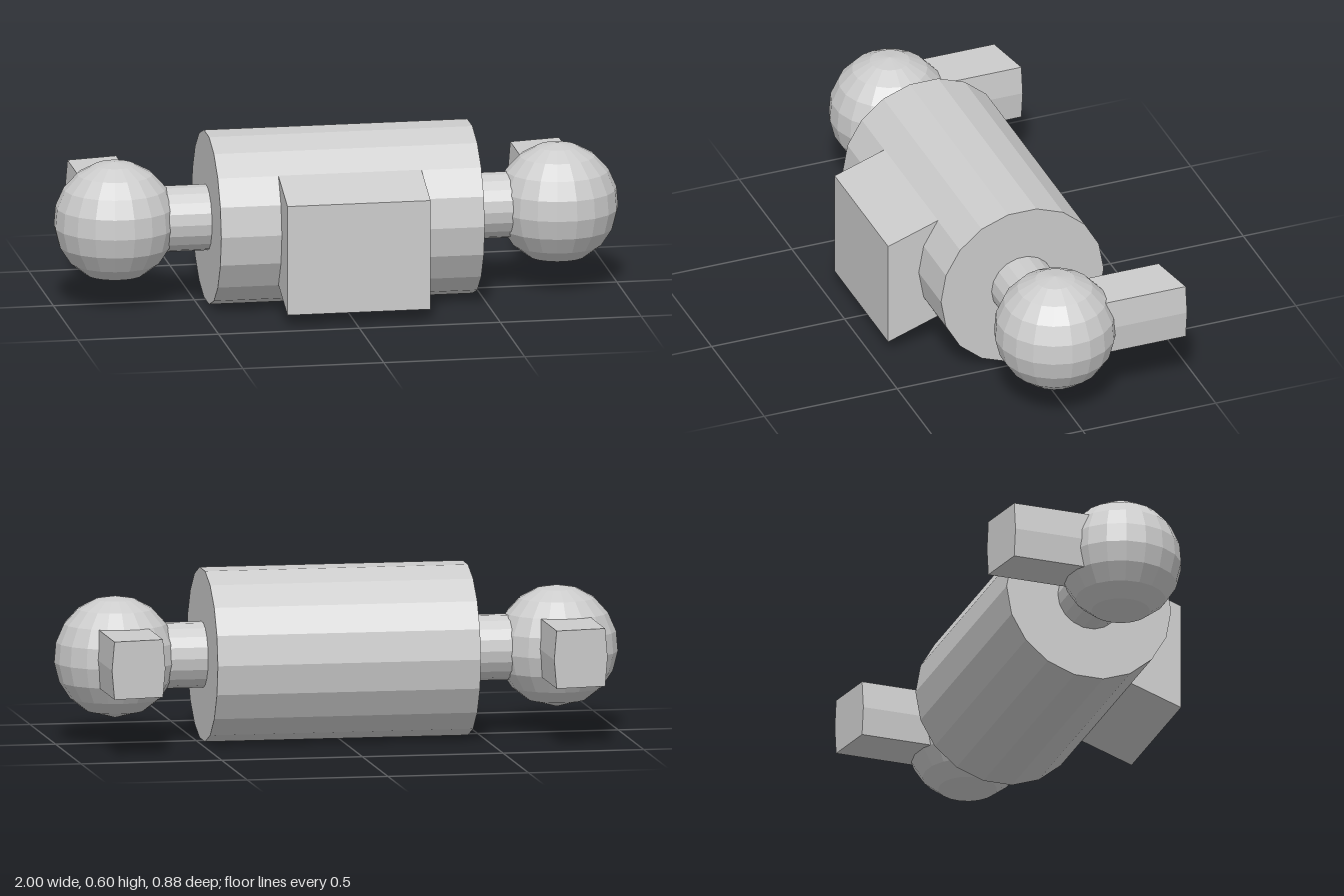
import * as THREE from 'three';

const material = new THREE.MeshStandardMaterial({ color: 0xcccccc, flatShading: true });
const AXIS_Y = 0.302, AXIS_Z = 0.019;

function addMesh(parent, name, geometry, x = 0, y = 0, z = 0) {
  const mesh = new THREE.Mesh(geometry, material);
  mesh.name = name;
  mesh.position.set(x, y, z);
  parent.add(mesh);
  return mesh;
}

// Cylinder lying along x, with a corner facing +z
function barrel(radius, x0, x1) {
  return new THREE.CylinderGeometry(radius, radius, x1 - x0, 18)
    .rotateZ(Math.PI / 2)
    .translate((x0 + x1) / 2, AXIS_Y, AXIS_Z);
}

// Prism along z from a list of [x, y] corners
function prism(corners, depth) {
  const shape = new THREE.Shape(corners.map(([x, y]) => new THREE.Vector2(x, y)));
  return new THREE.ExtrudeGeometry(shape, { depth, bevelEnabled: false });
}

// Ball of evenly stepped rings whose last step to the lower pole is longer
function ballGeometry(radius) {
  const step = (2 * Math.PI) / 19;
  const profile = [new THREE.Vector2(0, -radius)];
  for (let i = 8; i >= 0; i--) {
    profile.push(new THREE.Vector2(radius * Math.sin(i * step), radius * Math.cos(i * step)));
  }
  return new THREE.LatheGeometry(profile, 19, Math.PI);
}

// Arm with slightly bulged sides and a slanted rear end
function armGeometry() {
  const top = 0.102, half = 0.089, bulge = 0.098;
  const geometry = prism([
    [-half, -top], [half, -top], [bulge, 0], [half, top], [-half, top], [-bulge, 0],
  ], 0.37);
  const p = geometry.attributes.position;
  for (let i = 0; i < p.count; i++) {
    if (p.getZ(i) < 0.1) p.setZ(i, p.getZ(i) - 0.18 * p.getX(i));
  }
  return geometry;
}

export function createModel() {
  const model = new THREE.Group();
  model.name = 'model';

  addMesh(model, 'body', barrel(0.306, -0.46, 0.475));

  // Sloping front block: side profile drawn in (-z, y), turned to run along x
  const block = prism([
    [-0.44, 0.043], [-0.1, 0.16], [-0.1, 0.552], [-0.44, 0.435],
  ], 0.508).rotateY(Math.PI / 2);
  addMesh(model, 'frontBlock', block, -0.245);

  // Ball joint, neck and rear arm at each end
  for (const side of [-1, 1]) {
    const end = new THREE.Group();
    end.name = side > 0 ? 'leftEnd' : 'rightEnd';
    model.add(end);
    const inner = side * 0.44, outer = side * 0.7;
    addMesh(end, 'neck', barrel(0.116, Math.min(inner, outer), Math.max(inner, outer)));
    addMesh(end, 'ball', ballGeometry(0.215), side * 0.785, AXIS_Y, AXIS_Z);
    addMesh(end, 'arm', armGeometry(), side > 0 ? 0.781 : -0.79, 0.317, side > 0 ? -0.423 : -0.427);
  }
  return model;
}
